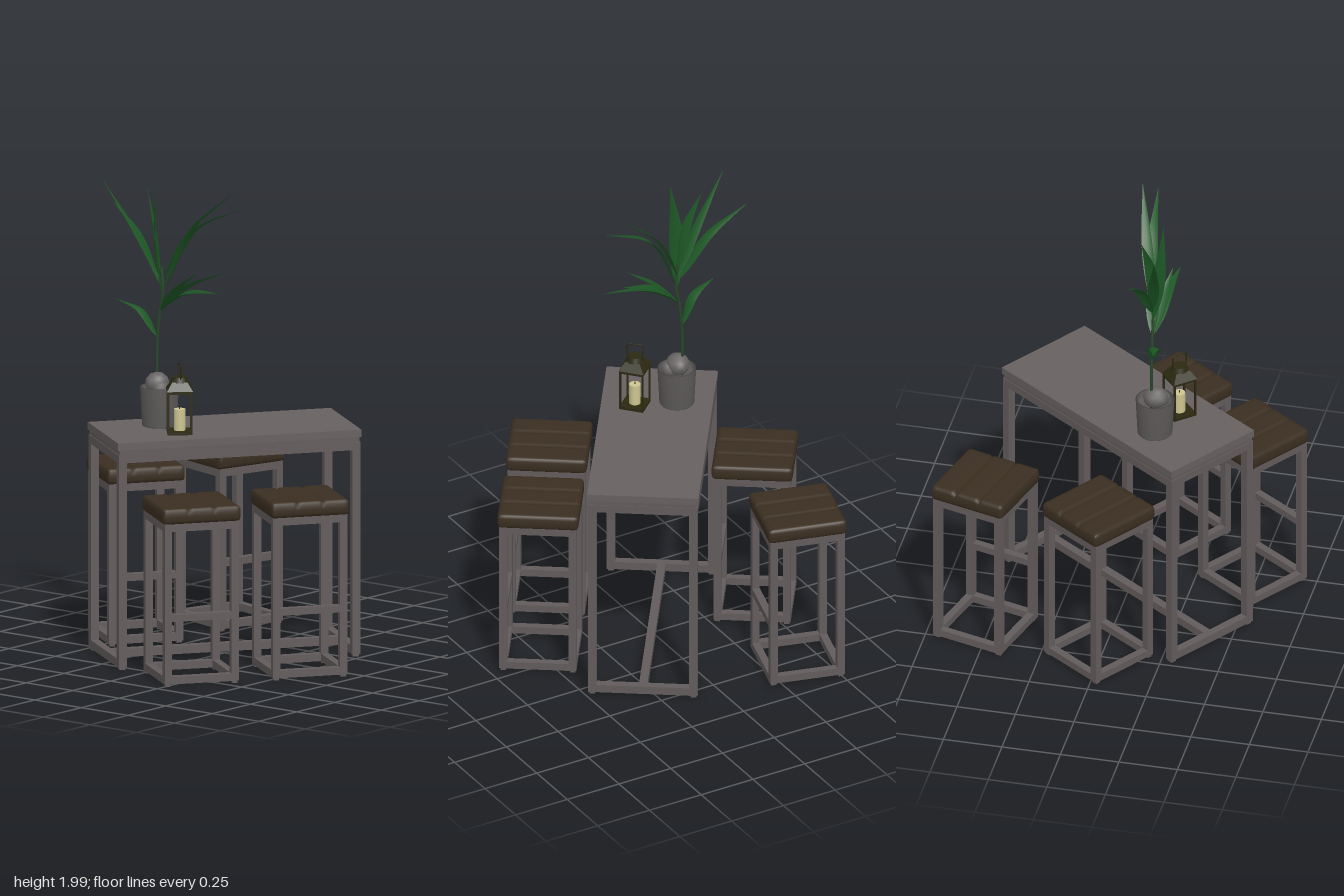
import * as THREE from 'three';
import { mergeVertices } from 'three/addons/utils/BufferGeometryUtils.js';

const mat = (name, color, side = THREE.FrontSide) => {
  const m = new THREE.MeshStandardMaterial({ color, side });
  m.name = name;
  return m;
};
const M = {
  frame: mat('grey frame', 0x625b5b),
  top: mat('grey table top', 0x676060),
  cushion: mat('brown cushion', 0x3a2e20),
  pot: mat('grey pot', 0x5c5858, THREE.DoubleSide),
  rock: mat('stone', 0x686464),
  leaf: mat('leaf green', 0x1d5725, THREE.DoubleSide),
  stem: mat('stem green', 0x28492a),
  metal: mat('dark olive metal', 0x2b2911),
  wax: mat('candle wax', 0xcdc591),
};

function add(parent, name, geo, material, x = 0, y = 0, z = 0) {
  const mesh = new THREE.Mesh(geo, material);
  mesh.name = name;
  mesh.position.set(x, y, z);
  parent.add(mesh);
  return mesh;
}
const box = (parent, name, material, w, h, d, x, y, z) =>
  add(parent, name, new THREE.BoxGeometry(w, h, d), material, x, y, z);

function group(parent, name, x = 0, y = 0, z = 0, ry = 0) {
  const g = new THREE.Group();
  g.name = name;
  g.position.set(x, y, z);
  g.rotation.y = ry;
  parent.add(g);
  return g;
}

// Square-tube frame: four legs on small feet, top rails, end rails at the floor
function tubeFrame(parent, w, d, h, t) {
  const X = (w - t) / 2, Z = (d - t) / 2, low = 0.01 + t / 2;
  for (const s of [-1, 1]) {
    for (const e of [-1, 1]) {
      box(parent, 'leg', M.frame, t, h - 0.01, t, s * X, (h + 0.01) / 2, e * Z);
      box(parent, 'foot', M.frame, t * 0.7, 0.01, t * 0.7, s * X, 0.005, e * Z);
    }
    box(parent, 'topSideRail', M.frame, t, t, d - 2 * t, s * X, h - t / 2, 0);
    box(parent, 'topEndRail', M.frame, w - 2 * t, t, t, 0, h - t / 2, s * Z);
    box(parent, 'bottomEndRail', M.frame, w - 2 * t, t, t, 0, low, s * Z);
  }
  return { X, Z, low };
}

// Padded cushion with rounded rim and two stitched grooves across it
function cushionGeometry(size, height) {
  const g = new THREE.BoxGeometry(size, height, size, 20, 4, 36);
  const p = g.attributes.position, half = size / 2, hh = height / 2, r = 0.016;
  for (let i = 0; i < p.count; i++) {
    const v = new THREE.Vector3().fromBufferAttribute(p, i);
    const core = new THREE.Vector3(
      THREE.MathUtils.clamp(v.x, r - half, half - r),
      THREE.MathUtils.clamp(v.y, r - hh, hh - r),
      THREE.MathUtils.clamp(v.z, r - half, half - r));
    const off = v.clone().sub(core);
    if (off.lengthSq() > 0) v.copy(core).add(off.setLength(r));
    if (v.y > 0) {
      for (const seam of [-0.055, 0.055])
        v.y -= 0.008 * Math.exp(-(((v.z - seam) / 0.006) ** 2));
    }
    p.setXYZ(i, v.x, v.y, v.z);
  }
  g.deleteAttribute('normal');
  g.deleteAttribute('uv');
  const merged = mergeVertices(g, 1e-5);
  merged.computeVertexNormals();
  return merged;
}

function stool(parent, x, z, ry) {
  const g = group(parent, 'stool', x, 0, z, ry), t = 0.032, w = 0.322;
  const { X, low } = tubeFrame(g, w, w, 0.69, t);
  for (const s of [-1, 1])
    box(g, 'bottomSideRail', M.frame, t, t, w - 2 * t, s * X, low, 0);
  box(g, 'footRest', M.frame, t, 0.03, w - 2 * t, X, 0.29, 0);
  box(g, 'seatPanel', M.frame, w - 2 * t, 0.01, w - 2 * t, 0, 0.683, 0);
  add(g, 'cushion', cushionGeometry(0.338, 0.066), M.cushion, 0, 0.721, 0);
}

function table(parent, ry) {
  const g = group(parent, 'table', 0, 0, 0, ry), t = 0.035;
  const { low } = tubeFrame(g, 0.458, 1.046, 0.914, t);
  box(g, 'floorStretcher', M.frame, t, t, 1.046 - 2 * t, 0, low, 0);
  box(g, 'spacer', M.frame, 0.452, 0.021, 1.04, 0, 0.9245, 0);
  box(g, 'tableTop', M.top, 0.465, 0.031, 1.053, 0, 0.95, 0);
}

// Long blade swept along a bend, widest before the middle and folded on its midrib
function leafGeometry(base, via, tip, width, across) {
  const curve = new THREE.CatmullRomCurve3([base, via, tip]);
  const n = 14, pos = [], idx = [];
  for (let i = 0; i <= n; i++) {
    const u = i / n, c = curve.getPoint(u), tan = curve.getTangent(u);
    const side = across.clone().addScaledVector(tan, -across.dot(tan)).normalize();
    const fold = new THREE.Vector3().crossVectors(side, tan);
    const half = 0.5 * width * Math.sin(Math.PI * Math.pow(u, 0.75)) ** 1.2 + 0.0012;
    for (const s of [-1, 0, 1]) {
      const q = c.clone().addScaledVector(side, s * half)
        .addScaledVector(fold, Math.abs(s) * half * 0.3);
      pos.push(q.x, q.y, q.z);
    }
    if (i < n) for (const k of [0, 1]) {
      const a = i * 3 + k;
      idx.push(a, a + 1, a + 3, a + 1, a + 4, a + 3);
    }
  }
  const g = new THREE.BufferGeometry();
  g.setAttribute('position', new THREE.Float32BufferAttribute(pos, 3));
  g.setIndex(idx);
  g.computeVertexNormals();
  return g;
}

function plant(parent) {
  const g = group(parent, 'pottedPlant'), V = (x, y, z) => new THREE.Vector3(x, y, z);
  const profile = [[0, 0], [0.07, 0], [0.073, 0.004], [0.081, 0.166], [0.073, 0.166], [0.071, 0.13], [0, 0.13]];
  add(g, 'pot', new THREE.LatheGeometry(profile.map(p => new THREE.Vector2(...p)), 32)
    .toNonIndexed(), M.pot, -0.215, 0.966, 0.165);
  const stones = [[-0.222, 1.145, 0.17, 0.05, 0.048, 0.055, 0.5], [-0.19, 1.125, 0.185, 0.035, 0.035, 0.04, 0.2]];
  for (const [x, y, z, sx, sy, sz, tilt] of stones) {
    const s = add(g, 'stone', new THREE.IcosahedronGeometry(1, 1), M.rock, x, y, z);
    s.scale.set(sx, sy, sz);
    s.rotation.z = -tilt;
  }
  const stem = new THREE.CatmullRomCurve3([V(-0.235, 1.09, 0.155), V(-0.235, 1.3, 0.155),
    V(-0.222, 1.44, 0.155), V(-0.205, 1.53, 0.155), V(-0.212, 1.64, 0.155)]);
  add(g, 'stem', new THREE.TubeGeometry(stem, 24, 0.006, 6), M.stem);
  // base, bend, tip, width, crosswise direction
  const leaves = [
    [[-0.215, 1.56, 0.155], [-0.34, 1.75, 0.13], [-0.515, 1.87, 0.1], 0.045, [0.2, 0, 1]],
    [[-0.213, 1.58, 0.155], [-0.31, 1.76, 0.18], [-0.47, 1.98, 0.22], 0.045, [0.3, 0, 1]],
    [[-0.212, 1.6, 0.155], [-0.245, 1.8, 0.15], [-0.31, 1.96, 0.13], 0.045, [0.5, 0, 1]],
    [[-0.208, 1.52, 0.155], [-0.218, 1.76, 0.18], [-0.205, 1.99, 0.2], 0.062, [0.8, 0, 0.8]],
    [[-0.212, 1.58, 0.155], [-0.08, 1.81, 0.1], [0.1, 1.985, 0.04], 0.045, [0.1, 0, 1]],
    [[-0.207, 1.53, 0.155], [-0.06, 1.8, 0.12], [0.17, 1.925, 0.09], 0.045, [0, 0, 1]],
    [[-0.22, 1.45, 0.155], [-0.09, 1.56, 0.13], [0.08, 1.64, 0.1], 0.055, [0, 0.2, 1]],
    [[-0.22, 1.45, 0.155], [-0.07, 1.54, 0.17], [0.125, 1.575, 0.195], 0.06, [0, -0.2, 1]],
    [[-0.22, 1.45, 0.155], [-0.11, 1.555, 0.175], [0.01, 1.645, 0.19], 0.05, [0, 0.2, 1]],
    [[-0.235, 1.34, 0.155], [-0.3, 1.45, 0.18], [-0.415, 1.485, 0.205], 0.05, [0.1, 0, 1]],
  ];
  for (const [b, v, t, w, a] of leaves)
    add(g, 'leaf', leafGeometry(V(...b), V(...v), V(...t), w, V(...a).normalize()), M.leaf);
}

function lantern(parent) {
  const g = group(parent, 'lantern', -0.052, 0.966, 0.232, -0.85), w = 0.104, t = 0.007;
  box(g, 'base', M.metal, w, 0.012, w, 0, 0.006, 0);
  for (const s of [-1, 1]) {
    for (const e of [-1, 1])
      box(g, 'post', M.metal, t, 0.17, t, s * (w - t) / 2, 0.095, e * (w - t) / 2);
    box(g, 'upperRail', M.metal, w, 0.012, t, 0, 0.178, s * (w - t) / 2);
    box(g, 'upperRail', M.metal, t, 0.012, w, s * (w - t) / 2, 0.178, 0);
  }
  // Sloped roof and vent
  const roof = new THREE.CylinderGeometry(0.045, 0.078, 0.036, 4).toNonIndexed();
  roof.computeVertexNormals();
  add(g, 'roof', roof, M.metal, 0, 0.202, 0).rotation.y = Math.PI / 4;
  add(g, 'vent', new THREE.CylinderGeometry(0.03, 0.038, 0.022, 16), M.metal, 0, 0.228, 0);
  // Carrying loop
  const loop = new THREE.CatmullRomCurve3([[-0.03, 0.228], [-0.034, 0.26], [-0.034, 0.284], [-0.028, 0.292],
    [0.028, 0.292], [0.034, 0.284], [0.034, 0.26], [0.03, 0.228]]
    .map(([x, y]) => new THREE.Vector3(x, y, 0)), false, 'catmullrom', 0.2);
  add(g, 'handle', new THREE.TubeGeometry(loop, 40, 0.0028, 6), M.metal).rotation.y = 0.1;
  add(g, 'candle', new THREE.CylinderGeometry(0.024, 0.024, 0.09, 24), M.wax, 0, 0.057, 0);
  add(g, 'wick', new THREE.CylinderGeometry(0.0015, 0.0015, 0.012, 6), M.metal, 0, 0.107, 0);
}

export function createModel() {
  const model = new THREE.Group();
  model.name = 'barTableSet';
  const turn = -0.609;
  table(model, turn);
  stool(model, -0.397, -0.518, -0.27);
  stool(model, -0.488, -0.013, turn);
  stool(model, 0.483, 0.096, turn);
  stool(model, 0.215, 0.482, turn);
  plant(model);
  lantern(model);
  return model;
}
